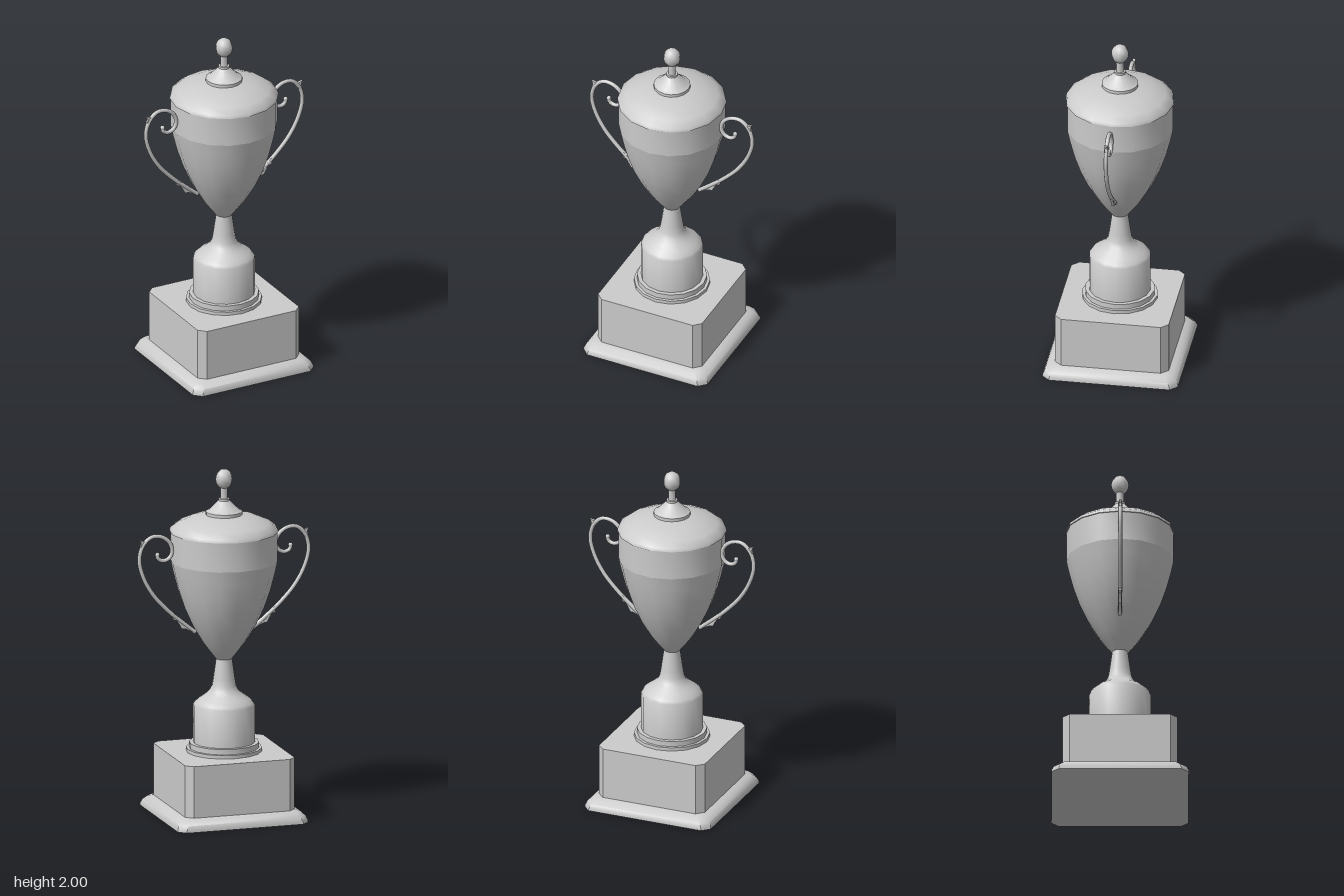
import * as THREE from 'three';
import { toCreasedNormals } from 'three/addons/utils/BufferGeometryUtils.js';

const material = new THREE.MeshStandardMaterial({ color: 0xcccccc });

function mesh(name, geometry) {
  const m = new THREE.Mesh(geometry, material);
  m.name = name;
  return m;
}

// Turned part from [radius, height] pairs, bottom to top
function turned(name, profile, sides = 16, crease = 0.75) {
  const pts = profile.map(([r, y]) => new THREE.Vector2(r, y));
  return mesh(name, toCreasedNormals(new THREE.LatheGeometry(pts, sides), crease));
}

// Square part with cut corners from [half width, corner cut, height] sections
function cutSquare(name, sections, crease) {
  const rings = sections.map(([h, cut, y]) => {
    const c = h - cut;
    return [[-c, h], [c, h], [h, c], [h, -c], [c, -h], [-c, -h], [-h, -c], [-h, c]]
      .map(([x, z]) => [x, y, z]);
  });
  const pos = [];
  for (let i = 0; i < rings.length - 1; i++) {
    for (let j = 0; j < 8; j++) {
      const k = (j + 1) % 8;
      const [a, b, c, d] = [rings[i][j], rings[i][k], rings[i + 1][k], rings[i + 1][j]];
      pos.push(...a, ...b, ...c, ...a, ...c, ...d);
    }
  }
  const g = new THREE.BufferGeometry();
  g.setAttribute('position', new THREE.Float32BufferAttribute(pos, 3));
  return mesh(name, toCreasedNormals(g, crease));
}

// Flat ornament cut from a thin sheet, centred on z = 0
function flatOrnament(name, outline, depth) {
  const shape = new THREE.Shape(outline.map(([x, y]) => new THREE.Vector2(x, y)));
  const g = new THREE.ExtrudeGeometry(shape, { depth, bevelEnabled: false });
  g.translate(0, 0, -depth / 2);
  return mesh(name, g);
}

function makeHandle(name) {
  const handle = new THREE.Group();
  handle.name = name;
  // Sweeping bar that ends in a curl against the rim
  const path = [
    [0.17, 1.065], [0.25, 1.13], [0.33, 1.2], [0.42, 1.3], [0.48, 1.41], [0.502, 1.51],
    [0.48, 1.59], [0.43, 1.635], [0.37, 1.632], [0.322, 1.595], [0.308, 1.545],
    [0.325, 1.507], [0.36, 1.493], [0.39, 1.507], [0.395, 1.53],
  ].map(([x, y]) => new THREE.Vector3(x, y, 0));
  const curve = new THREE.CatmullRomCurve3(path);
  handle.add(mesh('handleBar', new THREE.TubeGeometry(curve, 64, 0.012, 8)));
  const tip = mesh('curlTip', new THREE.SphereGeometry(0.014, 8, 6));
  tip.position.copy(path[path.length - 1]);
  handle.add(tip);
  // Jagged leaf under the lower end
  handle.add(flatOrnament('handleLeaf', [
    [0.165, 1.055], [0.2, 1.075], [0.23, 1.09], [0.254, 1.093], [0.265, 1.115],
    [0.282, 1.142], [0.302, 1.148], [0.306, 1.188], [0.3, 1.185], [0.25, 1.14], [0.18, 1.08],
  ], 0.016));
  // Small thorn on the outer shoulder
  handle.add(flatOrnament('handleThorn', [
    [0.48, 1.57], [0.497, 1.585], [0.492, 1.603], [0.5, 1.622], [0.475, 1.615], [0.46, 1.608],
  ], 0.016));
  return handle;
}

export function createModel() {
  const trophy = new THREE.Group();
  trophy.name = 'trophy';

  // Square base
  trophy.add(cutSquare('baseSkirt', [
    [0, 0, 0], [0.387, 0.042, 0], [0.387, 0.042, 0.01], [0.376, 0.042, 0.036],
    [0.355, 0.041, 0.058], [0.325, 0.04, 0.068],
  ], 0.7));
  trophy.add(cutSquare('plinth', [
    [0.325, 0.04, 0.06], [0.325, 0.04, 0.367], [0, 0, 0.367],
  ], 0.3));

  // Foot and stem
  trophy.add(turned('footRings', [
    [0.215, 0.365], [0.215, 0.387], [0.198, 0.387], [0.198, 0.418], [0.17, 0.418],
  ]));
  trophy.add(turned('footAndStem', [
    [0.175, 0.41], [0.175, 0.635], [0.165, 0.65], [0.143, 0.67], [0.108, 0.694],
    [0.082, 0.718], [0.069, 0.745], [0.062, 0.785], [0.045, 0.905],
  ]));

  // Cup
  trophy.add(turned('bowl', [
    [0, 0.898], [0.045, 0.9], [0.085, 0.95], [0.122, 1.0], [0.182, 1.1],
    [0.228, 1.2], [0.262, 1.3], [0.288, 1.4], [0.303, 1.47],
  ]));
  trophy.add(turned('rimBand', [[0.303, 1.47], [0.303, 1.64]]));

  // Lid
  trophy.add(turned('lid', [
    [0.285, 1.638], [0.309, 1.64], [0.304, 1.658], [0.263, 1.688], [0.19, 1.719],
    [0.105, 1.737], [0, 1.74],
  ]));
  trophy.add(turned('lidKnobBase', [
    [0.104, 1.73], [0.104, 1.755], [0.085, 1.765], [0.032, 1.818], [0.032, 1.83], [0, 1.83],
  ]));
  trophy.add(turned('finialStem', [[0.022, 1.82], [0.022, 1.9]], 8, 0.9));
  const finial = mesh('finialBall', new THREE.SphereGeometry(0.05, 8, 10));
  finial.scale.y = 1.15;
  finial.position.y = 1.9425;
  trophy.add(finial);

  // Matching handles
  const left = makeHandle('leftHandle');
  const right = makeHandle('rightHandle');
  right.rotation.y = Math.PI;
  trophy.add(left, right);

  return trophy;
}
